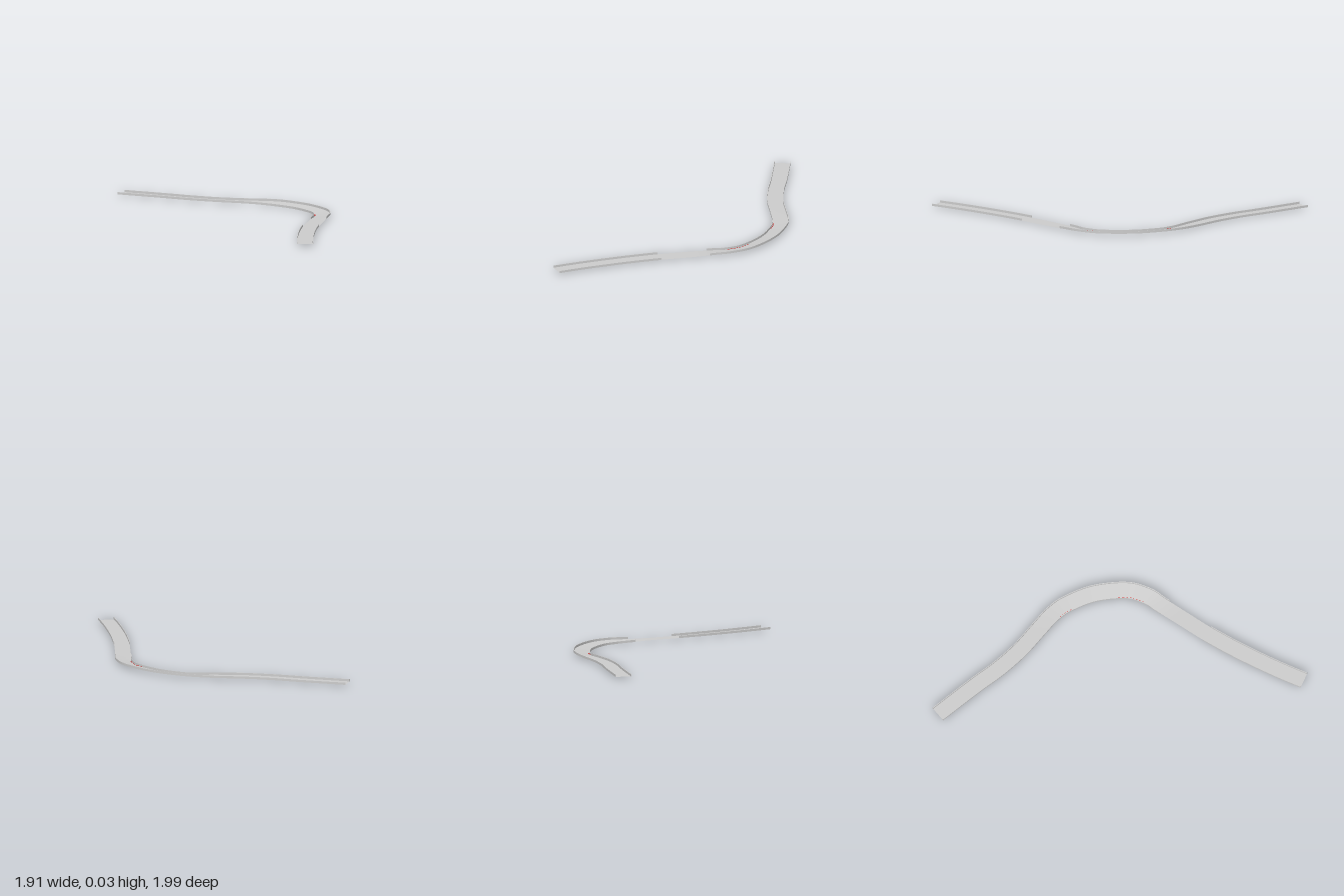
import * as THREE from 'three';
import { mergeGeometries } from 'three/addons/utils/BufferGeometryUtils.js';

// centre line: x, bank amount (0..1), z
const POINTS = [
  [-0.945, 0, -0.94], [-0.6, 0, -0.863], [-0.4, 0, -0.812], [-0.195, 0, -0.78],
  [0, 0.15, -0.773], [0.185, 0.75, -0.762], [0.3, 1, -0.728], [0.45, 1, -0.648],
  [0.571, 1, -0.542], [0.66, 1, -0.43], [0.698, 0.95, -0.325], [0.709, 0.55, -0.2],
  [0.725, 0, 0], [0.741, 0, 0.2], [0.768, 0, 0.4], [0.804, 0, 0.6],
  [0.847, 0, 0.8], [0.891, 0, 0.973],
];
const LAST = POINTS.length - 1;
const HALF = 0.056;      // half the road width
const BASE = 0.008;      // road height and bank rise
const WALL = 0.016;      // wall height
const path = new THREE.CatmullRomCurve3(POINTS.map((p) => new THREE.Vector3(...p)));

// point beside the centre line; positive offset is the inside of the bend
function roadPoint(i, offset, lift) {
  const t = i / LAST;
  const c = path.getPoint(t);
  const d = path.getTangent(t);
  const len = Math.hypot(d.x, d.z);
  const bank = THREE.MathUtils.clamp(c.y, 0, 1);
  return [
    c.x - (d.z / len) * offset,
    BASE * (1 - (bank * offset) / HALF) + lift,
    c.z + (d.x / len) * offset,
  ];
}

// one strip between two section points, swept from path index i0 to i1
function strip(a, b, i0, i1) {
  const steps = Math.max(1, Math.ceil((i1 - i0) * 6));
  const pos = [], idx = [];
  for (let k = 0; k <= steps; k++) {
    const i = i0 + ((i1 - i0) * k) / steps;
    pos.push(...roadPoint(i, ...a), ...roadPoint(i, ...b));
    if (k < steps) {
      const n = k * 2;
      idx.push(n, n + 1, n + 2, n + 1, n + 3, n + 2);
    }
  }
  const g = new THREE.BufferGeometry();
  g.setAttribute('position', new THREE.Float32BufferAttribute(pos, 3));
  g.setIndex(idx);
  g.computeVertexNormals();
  return g;
}

// flat end of a rectangular bar
function cap(corners, i, flip) {
  const g = new THREE.BufferGeometry();
  g.setAttribute('position', new THREE.Float32BufferAttribute(corners.flatMap((c) => roadPoint(i, ...c)), 3));
  g.setIndex(flip ? [0, 2, 1, 0, 3, 2] : [0, 1, 2, 0, 2, 3]);
  g.computeVertexNormals();
  return g;
}

// rectangular bar following the road, with hard edges
function bar(o0, o1, bottom, top, i0, i1) {
  const c = [[o0, top], [o1, top], [o1, bottom], [o0, bottom]];
  const parts = c.map((p, k) => strip(p, c[(k + 1) % 4], i0, i1));
  return mergeGeometries([...parts, cap(c, i0, true), cap(c, i1, false)]);
}

export function createModel() {
  const model = new THREE.Group();
  const grey = new THREE.MeshStandardMaterial({ color: 0xcccccc, side: THREE.DoubleSide });
  const red = new THREE.MeshStandardMaterial({ color: 0xcc2222, side: THREE.DoubleSide });
  const white = new THREE.MeshStandardMaterial({ color: 0xffffff, side: THREE.DoubleSide });
  const add = (name, geometry, material) => {
    const mesh = new THREE.Mesh(geometry, material);
    mesh.name = name;
    model.add(mesh);
  };

  // banked road surface
  add('road', strip([-HALF, 0], [HALF, 0], 0, LAST), grey);

  // low walls on both edges, with an open stretch after the bend
  for (const [side, name] of [[-1, 'outerWall'], [1, 'innerWall']]) {
    const o = side * (HALF + 0.001);
    for (const [i0, i1, part] of [[0, 11.25, 'Bend'], [13, LAST, 'Straight']]) {
      add(name + part, bar(o - 0.0025, o + 0.0025, 0, WALL, i0, i1), grey);
    }
  }

  // striped kerbs at the start and end of the bend
  for (const [i0, i1, n, name] of [[5.1, 6.05, 9, 'entryKerb'], [8.3, 10, 15, 'exitKerb']]) {
    const bands = [[], []];
    for (let k = 0; k < n; k++) {
      const s = (i1 - i0) / n;
      bands[k % 2].push(bar(HALF - 0.009, HALF - 0.0015, 0, 0.0015, i0 + k * s, i0 + (k + 1) * s));
    }
    add(name + 'Red', mergeGeometries(bands[0]), red);
    add(name + 'White', mergeGeometries(bands[1]), white);
  }
  return model;
}
